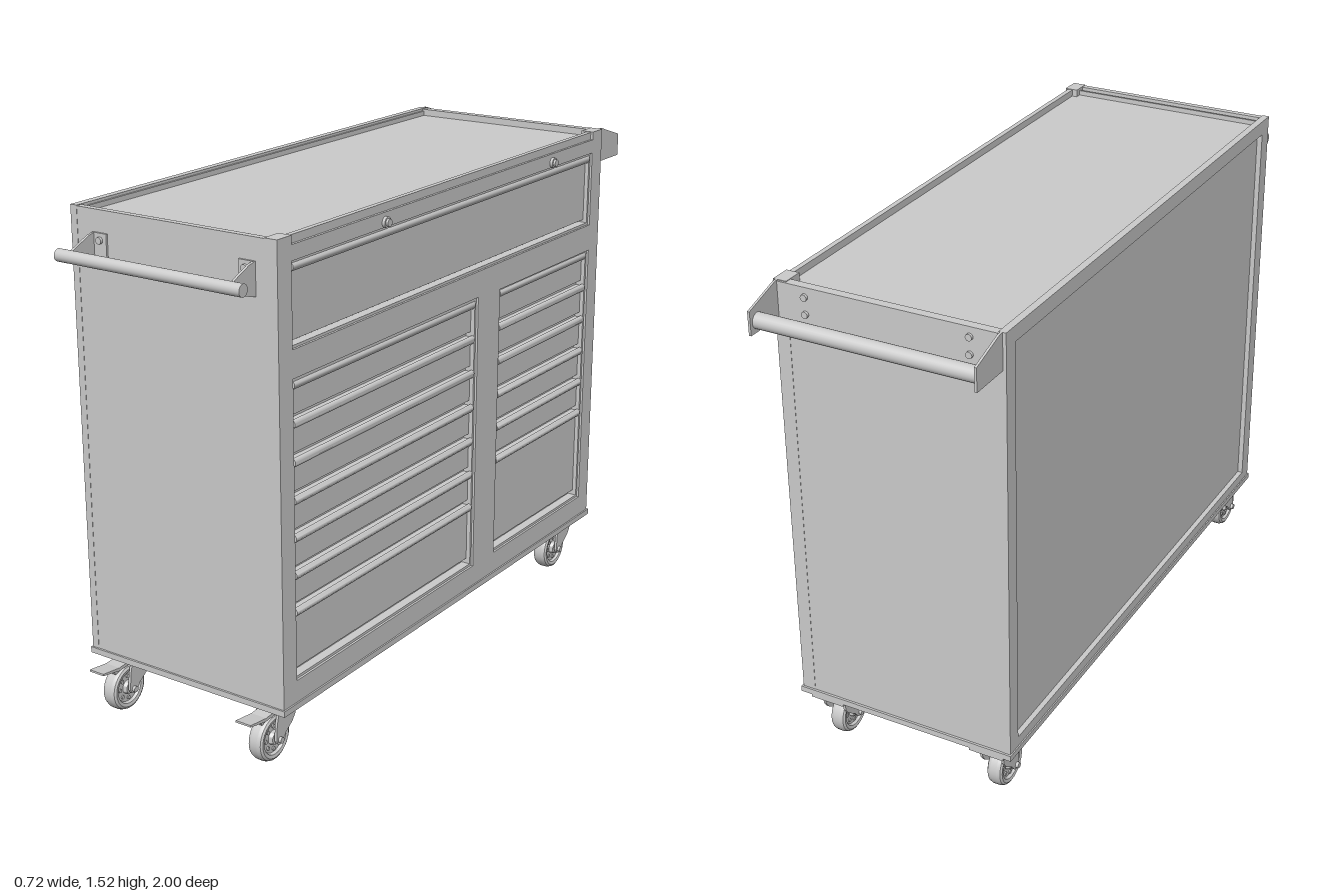
import * as THREE from 'three';
import { toCreasedNormals } from 'three/addons/utils/BufferGeometryUtils.js';

const grey = new THREE.MeshStandardMaterial({ color: 0xcccccc });

function add(parent, name, geometry) {
  const mesh = new THREE.Mesh(geometry, grey);
  mesh.name = name;
  parent.add(mesh);
  return mesh;
}

function box(parent, name, x0, x1, y0, y1, z0, z1) {
  const g = new THREE.BoxGeometry(x1 - x0, y1 - y0, z1 - z0);
  g.translate((x0 + x1) / 2, (y0 + y1) / 2, (z0 + z1) / 2);
  return add(parent, name, g);
}

// Cylinder lying along x
function rod(parent, name, x0, x1, y, z, r, sides = 24) {
  const g = new THREE.CylinderGeometry(r, r, x1 - x0, sides);
  g.rotateZ(Math.PI / 2).translate((x0 + x1) / 2, y, z);
  return add(parent, name, g);
}

// Upright plate from [z, y] points, spanning x0..x1; holes are [z0, z1, y0, y1]
function plate(parent, name, x0, x1, points, holes = []) {
  const toVec = ([z, y]) => new THREE.Vector2(-z, y);
  const shape = new THREE.Shape(points.map(toVec));
  for (const [z0, z1, y0, y1] of holes) {
    shape.holes.push(new THREE.Path([[z0, y0], [z0, y1], [z1, y1], [z1, y0]].map(toVec)));
  }
  const g = new THREE.ExtrudeGeometry(shape, { depth: x1 - x0, bevelEnabled: false });
  g.rotateY(Math.PI / 2).translate(x0, 0, 0);
  return add(parent, name, g);
}

// Drawer with a curled full-width pull along its top edge
function drawer(parent, z0, z1, y0, y1) {
  const group = new THREE.Group();
  group.name = 'drawer';
  box(group, 'drawerFace', 0.3, 0.322, y0, y1 - 0.03, z0, z1);
  const profile = [[0.3, 0], [0.322, 0], [0.332, 0.004], [0.338, 0.012], [0.338, 0.02],
    [0.333, 0.027], [0.327, 0.028], [0.327, 0.023], [0.3, 0.023]];
  const shape = new THREE.Shape(profile.map(([x, y]) => new THREE.Vector2(x, y + y1 - 0.033)));
  const g = new THREE.ExtrudeGeometry(shape, { depth: z1 - z0, bevelEnabled: false });
  add(group, 'drawerPull', toCreasedNormals(g.translate(0, 0, z0), 0.8));
  parent.add(group);
}

// Thin raised border around an opening
function border(parent, z0, z1, y0, y1) {
  const t = 0.008;
  plate(parent, 'openingTrim', 0.305, 0.334, [[z0, y0], [z1, y0], [z1, y1], [z0, y1]],
    [[z0 + t, z1 - t, y0 + t, y1 - t]]);
}

function caster(parent, x, z, braked) {
  const c = new THREE.Group();
  c.name = braked ? 'brakedCaster' : 'caster';
  c.position.set(x, 0, z);
  parent.add(c);
  const wy = 0.071, wz = 0.04;

  box(c, 'mountingPlate', -0.055, 0.055, 0.168, 0.178, -0.07, 0.07);
  add(c, 'swivelRace', new THREE.CylinderGeometry(0.042, 0.036, 0.022, 24).translate(0, 0.158, 0));

  // Tyre and hub turned about the axle
  const lathe = (pts) => toCreasedNormals(
    new THREE.LatheGeometry(pts.map(([r, h]) => new THREE.Vector2(r, h)), 32), 0.6)
    .rotateZ(Math.PI / 2).translate(0, wy, wz);
  add(c, 'tyre', lathe([[0.05, -0.022], [0.06, -0.024], [0.067, -0.02], [0.071, -0.01],
    [0.071, 0.01], [0.067, 0.02], [0.06, 0.024], [0.05, 0.022]]));
  add(c, 'wheelHub', lathe([[0, -0.026], [0.018, -0.026], [0.022, -0.014], [0.046, -0.014],
    [0.051, -0.022], [0.051, 0.022], [0.046, 0.014], [0.022, 0.014], [0.018, 0.026], [0, 0.026]]));
  for (let i = 0; i < 8; i++) {
    const a = (i / 8) * Math.PI * 2;
    rod(c, 'hubStud', -0.018, 0.018, wy + 0.035 * Math.sin(a), wz + 0.035 * Math.cos(a), 0.006, 10);
  }

  // Fork legs, crown and axle
  for (const s of [-1, 1]) {
    plate(c, 'forkLeg', s * 0.035 - 0.004, s * 0.035 + 0.004,
      [[-0.038, 0.16], [0.042, 0.16], [0.052, 0.12], [0.056, 0.072], [0.05, 0.06],
        [0.04, 0.056], [0.028, 0.061], [0.012, 0.082], [-0.02, 0.105], [-0.034, 0.125]]);
  }
  box(c, 'forkCrown', -0.039, 0.039, 0.149, 0.16, -0.038, 0.042);
  rod(c, 'axle', -0.048, 0.048, wy, wz, 0.009, 12);

  if (braked) {
    plate(c, 'brakePedal', -0.026, 0.026,
      [[0.03, 0.148], [0.085, 0.144], [0.155, 0.157], [0.155, 0.163], [0.085, 0.154], [0.03, 0.158]]);
    plate(c, 'brakeArm', -0.015, 0.015, [[0.065, 0.15], [0.1, 0.15], [0.09, 0.13], [0.075, 0.135]]);
  }
}

export function createModel() {
  const model = new THREE.Group();
  model.name = 'rollingToolCabinet';

  // Cabinet shell
  const cabinet = new THREE.Group();
  cabinet.name = 'cabinet';
  model.add(cabinet);
  box(cabinet, 'basePlate', -0.36, 0.346, 0.176, 0.194, -0.873, 0.891);
  box(cabinet, 'cabinetCore', -0.34, 0.305, 0.19, 1.495, -0.86, 0.88);
  for (const [z0, z1] of [[-0.866, -0.846], [0.865, 0.885]]) {
    box(cabinet, 'endPanel', -0.354, 0.339, 0.19, 1.518, z0, z1);
  }
  plate(cabinet, 'backFrame', -0.356, -0.334,
    [[-0.867, 0.19], [0.886, 0.19], [0.886, 1.52], [-0.867, 1.52]], [[-0.82, 0.835, 0.225, 1.475]]);

  // Front frame with the drawer openings and a stepped top edge
  const zL = 0.825, zR = -0.805;
  plate(cabinet, 'drawerFrame', 0.3, 0.341,
    [[-0.867, 0.19], [0.886, 0.19], [0.886, 1.52], [zL, 1.52], [zL, 1.495],
      [zR, 1.495], [zR, 1.52], [-0.867, 1.52]],
    [[zR, zL, 1.215, 1.452], [-0.108, zL, 0.26, 1.135], [zR, -0.235, 0.26, 1.13]]);
  box(cabinet, 'frontTopLip', 0.317, 0.333, 1.49, 1.518, zR, zL);
  box(cabinet, 'worktop', -0.336, 0.32, 1.485, 1.497, -0.85, 0.87);

  // Inner lips of the tray rim
  box(cabinet, 'rimLip', -0.334, -0.328, 1.495, 1.512, -0.85, 0.85);
  box(cabinet, 'rimLip', -0.33, 0.32, 1.495, 1.512, 0.846, 0.852);

  // Drawers: one wide on top, then a bank of seven and a bank of six
  const drawers = new THREE.Group();
  drawers.name = 'drawers';
  model.add(drawers);
  border(drawers, zR, zL, 1.215, 1.452);
  drawer(drawers, zR + 0.01, zL - 0.01, 1.232, 1.45);
  const banks = [[-0.108, zL, 7], [zR, -0.235, 6]];
  for (const [z0, z1, count] of banks) {
    border(drawers, z0, z1, 0.26, 1.132);
    for (let i = 0; i < count; i++) {
      const top = 1.13 - i * 0.109;
      const bottom = i === count - 1 ? 0.285 : top - 0.103;
      drawer(drawers, z0 + 0.01, z1 - 0.01, bottom, top);
    }
  }

  // Locks
  for (const z of [0.395, -0.54]) {
    rod(model, 'lock', 0.335, 0.35, 1.467, z, 0.016);
    rod(model, 'lockCore', 0.345, 0.357, 1.467, z, 0.011);
  }

  // Push handle on the front end
  const handle = new THREE.Group();
  handle.name = 'pushHandle';
  model.add(handle);
  rod(handle, 'handleBar', -0.318, 0.306, 1.405, 0.982, 0.018);
  for (const s of [-1, 1]) {
    const x = -0.004 + s * 0.271, inner = x - s * 0.047;
    plate(handle, 'handleBracket', x - 0.004, x + 0.004,
      [[0.885, 1.36], [0.885, 1.455], [0.91, 1.45], [0.975, 1.422], [0.985, 1.405], [0.975, 1.388], [0.91, 1.366]]);
    box(handle, 'bracketFlange', Math.min(x, inner), Math.max(x, inner), 1.36, 1.455, 0.884, 0.891);
    for (const y of [1.38, 1.435]) {
      const bolt = add(handle, 'bolt', new THREE.CylinderGeometry(0.01, 0.01, 0.01, 12).rotateX(Math.PI / 2));
      bolt.position.set(x - s * 0.025, y, 0.894);
    }
  }

  // Roll holder on the rear end
  const holder = new THREE.Group();
  holder.name = 'rearHolder';
  model.add(holder);
  box(holder, 'holderBackPlate', -0.345, 0.332, 1.412, 1.518, -0.873, -0.865);
  for (const x of [-0.346, 0.326]) {
    plate(holder, 'holderSide', x, x + 0.007,
      [[-0.865, 1.412], [-0.865, 1.52], [-0.88, 1.52], [-1, 1.482], [-1, 1.412]]);
  }
  rod(holder, 'holderBar', -0.341, 0.328, 1.445, -0.968, 0.023);
  for (const x of [-0.255, 0.24]) {
    for (const y of [1.44, 1.49]) {
      const bolt = add(holder, 'bolt', new THREE.CylinderGeometry(0.01, 0.01, 0.01, 12).rotateX(Math.PI / 2));
      bolt.position.set(x, y, -0.876);
    }
  }

  // Casters
  for (const x of [-0.28, 0.255]) {
    caster(model, x, 0.804, true);
    caster(model, x, -0.803, false);
  }
  return model;
}
